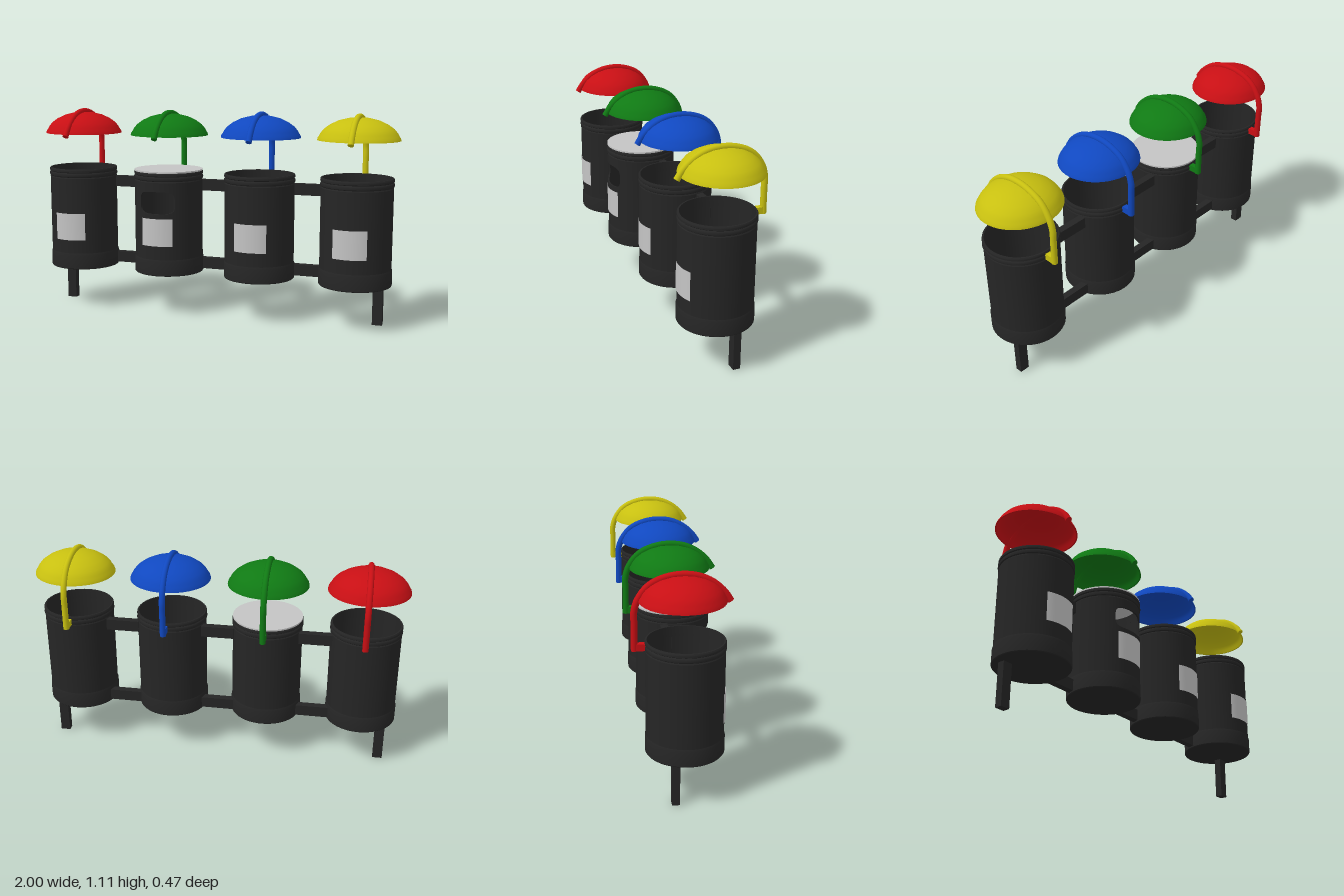
import * as THREE from 'three';
import { toCreasedNormals } from 'three/addons/utils/BufferGeometryUtils.js';

const mat = (name, color, side = THREE.FrontSide) => {
  const m = new THREE.MeshStandardMaterial({ color, side });
  m.name = name;
  return m;
};

const SEG = 48, BIN_Z = 0.015, R = 0.187, R_IN = 0.179;
const WALL_LOW = 0.315, WALL_HIGH = 0.735;

function add(parent, name, geometry, material, x = 0, y = 0, z = 0) {
  const mesh = new THREE.Mesh(geometry, material);
  mesh.name = name;
  mesh.position.set(x, y, z);
  parent.add(mesh);
  return mesh;
}

const lathe = (pts, crease = 0.6) =>
  toCreasedNormals(new THREE.LatheGeometry(pts.map(([r, y]) => new THREE.Vector2(r, y)), SEG), crease);

// Quad strip between two curves, each a function of t in 0..1 returning [angle, radius, y]
function strip(lower, upper, n = 32) {
  const pos = [], index = [];
  for (let i = 0; i <= n; i++) {
    for (const curve of [lower, upper]) {
      const [a, r, y] = curve(i / n);
      pos.push(r * Math.sin(a), y, r * Math.cos(a));
    }
    if (i < n) {
      const k = i * 2;
      index.push(k, k + 2, k + 1, k + 1, k + 2, k + 3);
    }
  }
  const g = new THREE.BufferGeometry();
  g.setAttribute('position', new THREE.Float32BufferAttribute(pos, 3));
  g.setIndex(index);
  g.computeVertexNormals();
  return g;
}

// Open cylinder wall, optionally leaving out an arc centred on the front
function tubeWall(r, halfGap = 0) {
  const h = WALL_HIGH - WALL_LOW;
  return new THREE.CylinderGeometry(r, r, h, SEG, 1, true, halfGap, Math.PI * 2 - halfGap * 2)
    .translate(0, (WALL_LOW + WALL_HIGH) / 2, 0);
}

// Wall with a rounded opening at the front
function addSlottedWall(bin, material) {
  const half = 0.56, midY = 0.626, halfH = 0.06;
  const edge = (t, r, sign) => {
    const u = -Math.cos(Math.PI * t);
    return [u * half, r, midY + sign * halfH * Math.pow(Math.max(0, 1 - u ** 4), 0.25)];
  };
  const level = (t, r, y) => [-Math.cos(Math.PI * t) * half, r, y];
  for (const r of [R, R_IN]) {
    add(bin, 'wall', tubeWall(r, half), material);
    add(bin, 'wallAboveOpening', strip(t => edge(t, r, 1), t => level(t, r, WALL_HIGH)), material);
    add(bin, 'wallBelowOpening', strip(t => level(t, r, WALL_LOW), t => edge(t, r, -1)), material);
  }
  for (const s of [1, -1]) {
    add(bin, 'openingEdge', strip(t => edge(t, R, s), t => edge(t, R_IN, s)), material);
  }
}

function makeBin(mats, slotted) {
  const bin = new THREE.Group();
  bin.name = slotted ? 'liddedBin' : 'openBin';

  // Base band with floor
  add(bin, 'base', lathe([
    [0, 0.225], [0.188, 0.225], [0.191, 0.229], [0.191, 0.304], [R, WALL_LOW],
    [R_IN, WALL_LOW], [R_IN, 0.24], [0, 0.24],
  ]), mats.body);

  // Double-rolled rim
  add(bin, 'rim', lathe([
    [R_IN, WALL_HIGH], [R, WALL_HIGH], [0.184, 0.741], [0.189, 0.745], [0.191, 0.753], [0.189, 0.761],
    [0.184, 0.766], [0.189, 0.77], [0.19, 0.776], [0.189, 0.783], [0.186, 0.787],
    [R_IN, 0.787], [R_IN, WALL_HIGH],
  ]), mats.body);

  if (slotted) {
    addSlottedWall(bin, mats.body);
    add(bin, 'lid', new THREE.CylinderGeometry(0.187, 0.187, 0.01, SEG), mats.panel, 0, 0.789, 0);
  } else {
    add(bin, 'outerWall', tubeWall(R), mats.body);
    add(bin, 'innerWall', tubeWall(R_IN), mats.body);
  }

  // Curved label plate on the front
  const label = new THREE.CylinderGeometry(0.191, 0.191, 0.15, 16, 1, true, -0.478, 0.956);
  add(bin, 'label', label, mats.panel, 0, 0.465, 0);
  bin.position.z = BIN_Z;
  return bin;
}

function makeCanopy(material) {
  const canopy = new THREE.Group();
  canopy.name = 'canopy';

  // Hollow dome with a flared lip
  const dome = add(canopy, 'dome', lathe([
    [0, 1.085], [0.05, 1.081], [0.1, 1.067], [0.15, 1.04], [0.178, 1.014], [0.188, 0.996], [0.196, 0.978],
    [0.203, 0.978], [0.2, 0.99], [0.193, 1.0], [0.187, 1.013], [0.17, 1.035], [0.14, 1.058],
    [0.1, 1.078], [0.05, 1.091], [0, 1.095],
  ]), material);
  dome.scale.x = 1.055;

  // Arched pole running over the dome and down the back
  const path = new THREE.CatmullRomCurve3([
    [0.221, 0.968], [0.189, 1.014], [0.128, 1.065], [0.05, 1.094], [-0.05, 1.094], [-0.148, 1.056],
    [-0.203, 0.99], [-0.222, 0.93], [-0.222, 0.87], [-0.222, 0.741],
  ].map(([z, y]) => new THREE.Vector3(0, y, z)));
  add(canopy, 'archedPole', new THREE.TubeGeometry(path, 60, 0.016, 14), material);
  for (const t of [0, 1]) {
    const p = path.getPoint(t);
    const cap = add(canopy, 'poleEnd', new THREE.CircleGeometry(0.016, 14), material, p.x, p.y, p.z);
    const dir = path.getTangent(t).multiplyScalar(t ? 1 : -1);
    cap.quaternion.setFromUnitVectors(new THREE.Vector3(0, 0, 1), dir);
  }

  // Bracket joining the pole to the bin
  add(canopy, 'bracket', new THREE.BoxGeometry(0.028, 0.034, 0.052), material, 0, 0.759, -0.196);
  return canopy;
}

export function createModel() {
  const model = new THREE.Group();
  model.name = 'recyclingStation';
  const mats = {
    body: mat('charcoal', 0x252525, THREE.DoubleSide),
    panel: mat('lightGrey', 0xc4c4c4, THREE.DoubleSide),
  };
  const canopyMats = [
    mat('red', 0xc80f14), mat('green', 0x107a14), mat('blue', 0x1048c0), mat('yellow', 0xc8c010),
  ];
  const pitch = 0.523;

  // Four bins with coloured canopies
  canopyMats.forEach((material, i) => {
    const unit = new THREE.Group();
    unit.name = 'binUnit';
    unit.position.x = (i - 1.5) * pitch;
    unit.add(makeBin(mats, i === 1), makeCanopy(material));
    model.add(unit);
  });

  // Rails between neighbouring bins
  for (const x of [-pitch, 0, pitch]) {
    for (const y of [0.704, 0.265]) {
      add(model, 'rail', new THREE.BoxGeometry(pitch - 0.346, 0.06, 0.038), mats.body, x, y, -0.046);
    }
  }

  // Legs under the outer bins
  for (const s of [-1, 1]) {
    add(model, 'leg', new THREE.BoxGeometry(0.052, 0.228, 0.038), mats.body, s * 0.9, 0.114, -0.043);
  }
  return model;
}
